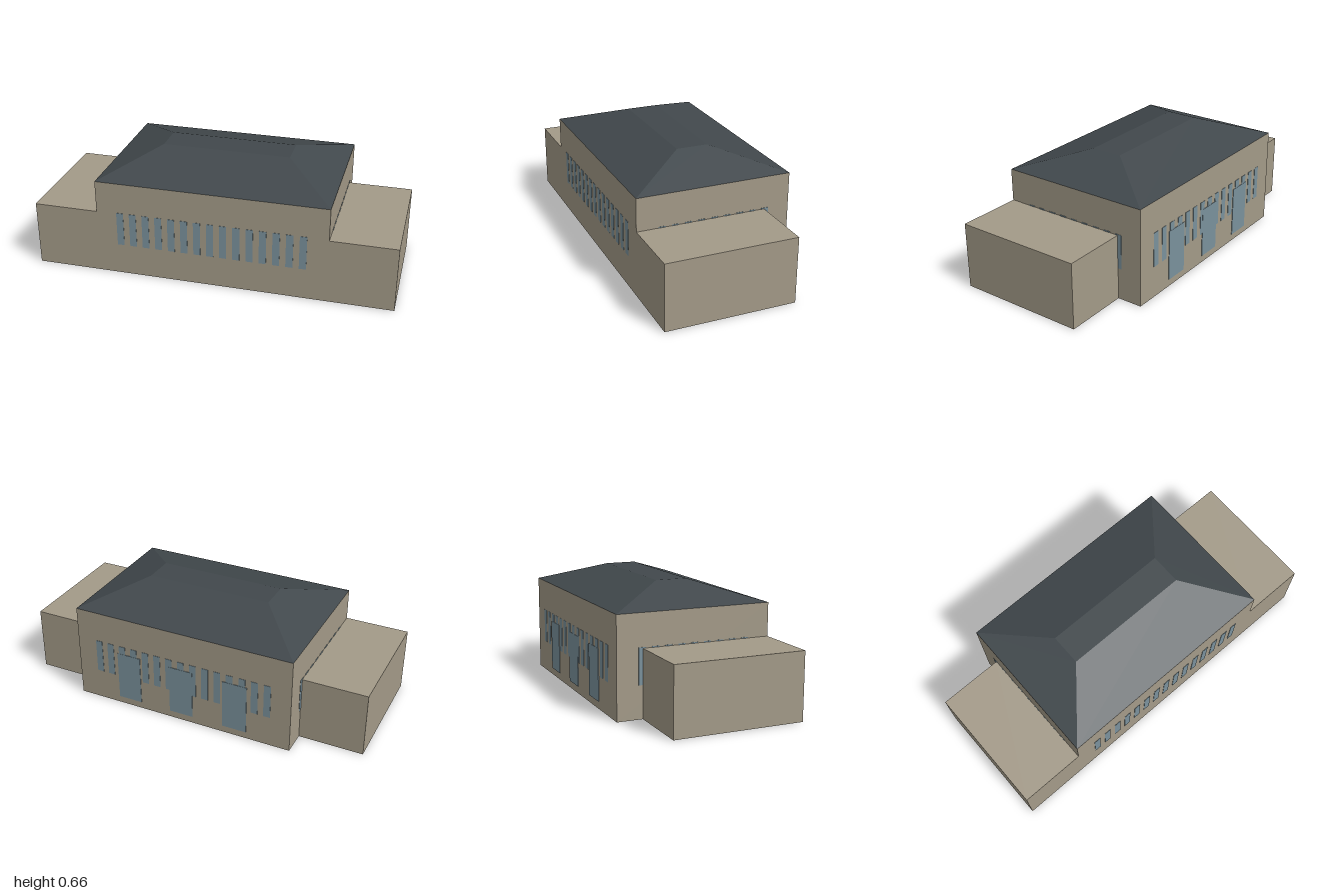
import * as THREE from 'three';

const W = 0.64, D = 0.427, H = 0.547; // hall half width, half depth, wall height
const wallMat = new THREE.MeshStandardMaterial({ color: 0xa39a88 });
const roofMat = new THREE.MeshStandardMaterial({ color: 0x41484c });
const glassMat = new THREE.MeshStandardMaterial({ color: 0x7a919c });

function box(name, mat, x0, x1, y0, y1, z0, z1) {
  const mesh = new THREE.Mesh(new THREE.BoxGeometry(x1 - x0, y1 - y0, z1 - z0), mat);
  mesh.position.set((x0 + x1) / 2, (y0 + y1) / 2, (z0 + z1) / 2);
  mesh.name = name;
  return mesh;
}

// Thin flush panes on one wall: a list of [centre along wall, width, bottom, top]
function panes(name, panels, distance, angle) {
  const group = new THREE.Group();
  group.name = name;
  for (const [u, w, y0, y1] of panels) {
    group.add(box(name + 'Pane', glassMat, u - w / 2, u + w / 2, y0, y1, distance - 0.004, distance + 0.002));
  }
  group.rotation.y = angle;
  return group;
}

// Evenly spaced window row, centred on the wall
const row = (count) =>
  Array.from({ length: count }, (_, i) => [(i - (count - 1) / 2) * 0.0723, 0.039, 0.178, 0.372]);

export function createModel() {
  const model = new THREE.Group();
  model.name = 'building';

  // Main hall and the two lower side wings, flush at the front
  model.add(box('mainHall', wallMat, -W, W, 0, H, -D, D));
  model.add(box('leftWing', wallMat, W, 1, 0, 0.366, -0.286, D));
  model.add(box('rightWing', wallMat, -1, -W, 0, 0.366, -0.286, D));

  // Hipped roof with a flat top: a box whose upper corners are drawn inward
  const roof = box('roof', roofMat, -W, W, H, 0.655, -D, D);
  const p = roof.geometry.attributes.position;
  for (let i = 0; i < p.count; i++) {
    if (p.getY(i) > 0) {
      p.setX(i, Math.sign(p.getX(i)) * 0.356);
      p.setZ(i, Math.sign(p.getZ(i)) * 0.087);
    }
  }
  roof.geometry.computeVertexNormals();
  model.add(roof);

  // Windows on all four walls, with three tall doors at the back
  model.add(panes('frontWindows', row(15), D, 0));
  model.add(panes('backWindows', row(15), D, Math.PI));
  model.add(panes('leftWindows', row(9), W, Math.PI / 2));
  model.add(panes('rightWindows', row(9), W, -Math.PI / 2));
  model.add(panes('backDoors', [-0.32, 0, 0.32].map((u) => [u, 0.14, 0.04, 0.325]), D + 0.001, Math.PI));

  return model;
}
